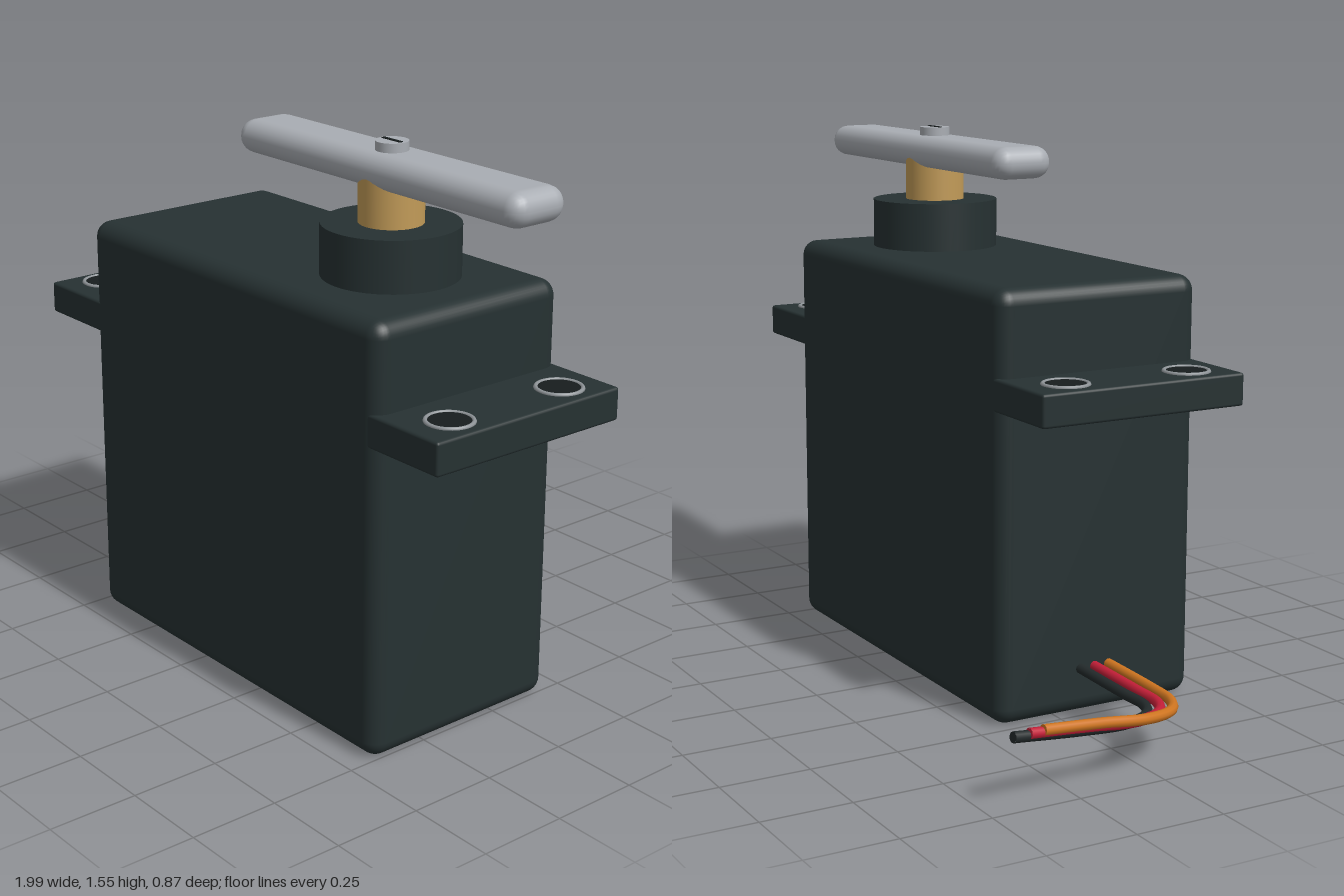
import * as THREE from 'three';
import { RoundedBoxGeometry } from 'three/addons/geometries/RoundedBoxGeometry.js';

const material = (name, color) => {
  const m = new THREE.MeshStandardMaterial({ color });
  m.name = name;
  return m;
};

export function createModel() {
  const model = new THREE.Group();
  model.name = 'servoMotor';
  const casing = material('dark casing', 0x263132);
  const recess = material('hole black', 0x171d1e);
  const horn = material('light grey', 0xa9adb3);
  const metal = material('metal grey', 0x8f9498);
  const brass = material('brass', 0xc29b58);
  const orange = material('orange wire', 0xcf7520);
  const red = material('red wire', 0xc41f38);
  const black = material('black wire', 0x232a2b);

  const add = (name, geometry, mat, x = 0, y = 0, z = 0) => {
    const mesh = new THREE.Mesh(geometry, mat);
    mesh.name = name;
    mesh.position.set(x, y, z);
    model.add(mesh);
    return mesh;
  };

  const midX = 0.1375, midZ = 0.123, shaftX = 0.45;

  // Casing with softened edges
  add('body', new RoundedBoxGeometry(1.245, 1.19, 0.625, 4, 0.045), casing, midX, 0.595, midZ);

  // Mounting ears with rimmed screw holes
  for (const side of [-1, 1]) {
    add('mountingEar', new RoundedBoxGeometry(0.32, 0.09, 0.622, 2, 0.008), casing,
      midX + side * 0.6825, 0.91, midZ);
    for (const end of [-1, 1]) {
      const x = midX + side * 0.75, z = midZ + end * 0.188;
      add('screwHole', new THREE.CylinderGeometry(0.056, 0.056, 0.004, 32), recess, x, 0.956, z);
      add('holeRim', new THREE.TorusGeometry(0.06, 0.006, 8, 40), metal, x, 0.956, z).rotation.x = Math.PI / 2;
    }
  }

  // Output collar, brass shaft and horn
  add('collar', new THREE.CylinderGeometry(0.185, 0.185, 0.16, 48), casing, shaftX, 1.25, midZ);
  add('shaft', new THREE.CylinderGeometry(0.087, 0.087, 0.15, 32), brass, shaftX, 1.385, midZ);
  add('horn', new RoundedBoxGeometry(1.09, 0.092, 0.182, 3, 0.045), horn, shaftX, 1.473, midZ);

  // Slotted retaining screw
  add('screw', new THREE.CylinderGeometry(0.044, 0.044, 0.035, 32), horn, shaftX, 1.526, midZ);
  add('screwSlot', new THREE.BoxGeometry(0.07, 0.004, 0.011), recess, shaftX, 1.5435, midZ);

  // Three leads curving away to the back
  const wire = (name, mat, points) => {
    const path = new THREE.CatmullRomCurve3(points.map(p => new THREE.Vector3(...p)));
    add(name, new THREE.TubeGeometry(path, 60, 0.0145, 10), mat);
    // End caps
    for (const [t, sign] of [[0, -1], [1, 1]]) {
      const cap = add(name + 'End', new THREE.CircleGeometry(0.0145, 10), mat);
      cap.position.copy(path.getPointAt(t));
      cap.lookAt(cap.position.clone().addScaledVector(path.getTangentAt(t), sign));
    }
  };
  wire('orangeWire', orange, [[-0.46, 0.13, 0.16], [-0.7, 0.124, 0.16], [-0.8, 0.125, 0.148],
    [-0.89, 0.133, 0.09], [-0.945, 0.148, -0.02], [-0.965, 0.17, -0.17], [-0.985, 0.191, -0.35]]);
  wire('redWire', red, [[-0.46, 0.13, 0.115], [-0.7, 0.124, 0.115], [-0.8, 0.125, 0.108],
    [-0.885, 0.132, 0.055], [-0.94, 0.145, -0.05], [-0.963, 0.165, -0.2], [-0.985, 0.189, -0.39]]);
  wire('blackWire', black, [[-0.46, 0.13, 0.07], [-0.7, 0.124, 0.07], [-0.8, 0.125, 0.067],
    [-0.88, 0.131, 0.02], [-0.935, 0.142, -0.08], [-0.963, 0.161, -0.23], [-0.985, 0.188, -0.435]]);

  return model;
}
